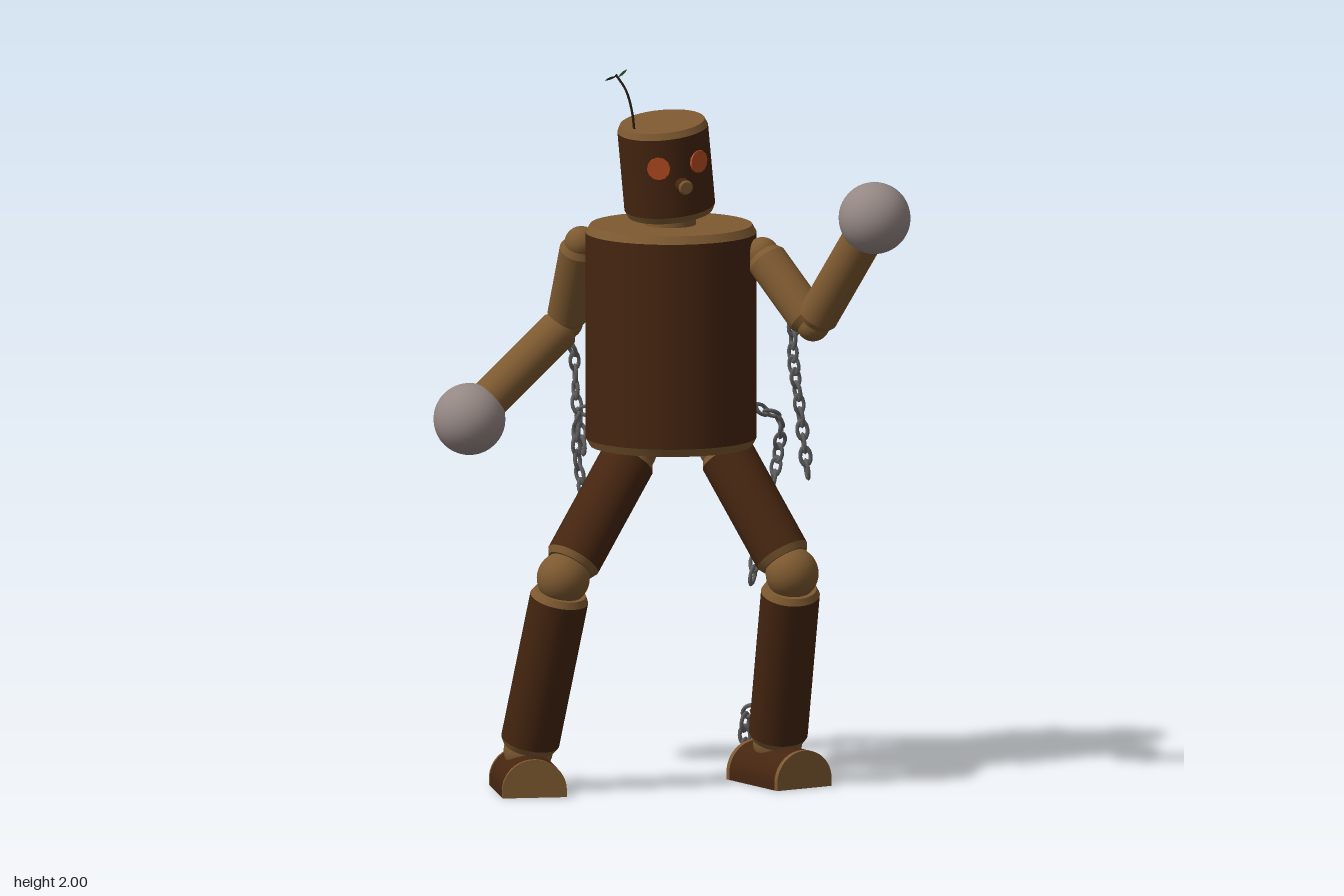
import * as THREE from 'three';

const mat = (name, color, side = THREE.FrontSide) => {
  const m = new THREE.MeshStandardMaterial({ color, side });
  m.name = name;
  return m;
};
const V = (a) => new THREE.Vector3(...a);
const UP = new THREE.Vector3(0, 1, 0);

export function createModel() {
  const root = new THREE.Group();
  root.name = 'woodenRobot';
  const tan = mat('tanWood', 0x7d5930);
  const dark = mat('darkWood', 0x452510);
  const pale = mat('greyBall', 0x958884);
  const iron = mat('chainIron', 0x636262);
  const glow = mat('orangeEye', 0xb84c20);
  const green = mat('leafGreen', 0x24421f, THREE.DoubleSide);
  const stem = mat('stemBrown', 0x2c2118);

  const add = (parent, name, geo, material, pos = [0, 0, 0]) => {
    const m = new THREE.Mesh(geo, material);
    m.name = name;
    m.position.set(...pos);
    parent.add(m);
    return m;
  };
  const ball = (name, pos, r, material = tan) =>
    add(root, name, new THREE.SphereGeometry(r, 32, 20), material, pos);

  // Cylinder with bevelled rims; its sides take one colour and its ends another
  const barrel = (name, from, to, r, side = dark, trim = 0.018, bevel = 0.01) => {
    const a = V(from), b = V(to), h = a.distanceTo(b);
    const g = new THREE.Group();
    g.name = name;
    g.position.copy(a).add(b).multiplyScalar(0.5);
    g.quaternion.setFromUnitVectors(UP, b.clone().sub(a).normalize());
    add(g, name + 'Side', new THREE.CylinderGeometry(r, r, h - trim * 2, 40, 1, true), side);
    const y = h / 2 - trim / 2;
    add(g, name + 'TopRim', new THREE.CylinderGeometry(r - bevel, r, trim, 40), tan, [0, y, 0]);
    add(g, name + 'BottomRim', new THREE.CylinderGeometry(r, r - bevel, trim, 40), tan, [0, -y, 0]);
    root.add(g);
    return g;
  };

  // Torso and neck
  barrel('torso', [-0.036, 0.94, -0.075], [-0.036, 1.553, -0.075], 0.235, dark, 0.022, 0.012);
  add(root, 'neck', new THREE.CylinderGeometry(0.07, 0.07, 0.08, 32), tan, [-0.037, 1.575, -0.07]);

  // Head, leaning forward, with the face turned to its left
  const head = barrel('head', [-0.037, 1.587, -0.07], [-0.05, 1.843, -0.032], 0.125, dark, 0.018, 0.008);
  const face = new THREE.Group();
  face.name = 'face';
  face.rotation.y = 0.6;
  head.add(face);
  for (const s of [-1, 1]) {
    const eye = new THREE.Group();
    eye.rotation.y = s * 0.49;
    face.add(eye);
    const geo = new THREE.CylinderGeometry(0.032, 0.032, 0.009, 12).rotateX(Math.PI / 2);
    add(eye, s < 0 ? 'rightEye' : 'leftEye', geo, glow, [0, 0.032, 0.1235]);
  }
  const disc = (r1, r2, h) => new THREE.CylinderGeometry(r1, r2, h, 20).rotateX(Math.PI / 2);
  add(face, 'nose', disc(0.021, 0.021, 0.04), dark, [0, -0.022, 0.134]);
  add(face, 'noseTip', disc(0.016, 0.021, 0.006), tan, [0, -0.022, 0.157]);

  // Sprig on the head
  const sprig = new THREE.CatmullRomCurve3(
    [[-0.112, 1.82, 0.03], [-0.116, 1.88, 0.042], [-0.13, 1.94, 0.054], [-0.156, 1.985, 0.066]].map(V));
  add(root, 'sprigStem', new THREE.TubeGeometry(sprig, 16, 0.0035, 6), stem);
  const leafShape = new THREE.Shape();
  leafShape.moveTo(0, 0);
  leafShape.quadraticCurveTo(0.008, 0.018, 0, 0.034);
  leafShape.quadraticCurveTo(-0.008, 0.018, 0, 0);
  const leaves = [[-0.153, 1.98, 0.066, -0.8, -0.3, 0.3], [-0.15, 1.976, 0.06, 0.6, 0.6, -0.6],
    [-0.138, 1.955, 0.058, 0.2, 0.15, 0.9]];
  for (const [x, y, z, dx, dy, dz] of leaves) {
    const leaf = add(root, 'sprigLeaf', new THREE.ShapeGeometry(leafShape, 5), green, [x, y, z]);
    leaf.quaternion.setFromUnitVectors(UP, new THREE.Vector3(dx, dy, dz).normalize());
  }

  // Arms
  const arms = [
    { n: 'right', shoulder: [-0.293, 1.49, -0.08], elbow: [-0.365, 1.25, -0.19], hand: [-0.59, 1.0, -0.003] },
    { n: 'left', shoulder: [0.222, 1.48, -0.08], elbow: [0.385, 1.3, -0.01], hand: [0.583, 1.617, 0.077] },
  ];
  for (const { n, shoulder, elbow, hand } of arms) {
    const s = V(shoulder), e = V(elbow), h = V(hand);
    const at = (a, b, t) => a.clone().lerp(b, t).toArray();
    ball(n + 'Shoulder', shoulder, 0.046);
    barrel(n + 'UpperArm', at(s, e, 0.02), at(s, e, 0.97), 0.056, tan);
    ball(n + 'Elbow', elbow, 0.046);
    barrel(n + 'Forearm', at(e, h, 0.03), at(e, h, 0.85), 0.056, tan);
    ball(n + 'Hand', hand, 0.099, pale);
  }

  // Legs and feet
  const legs = [
    { n: 'right', hip: [-0.125, 0.93, 0.0], knee: [-0.262, 0.605, 0.225], ankle: [-0.385, 0.11, 0.137],
      foot: [-0.38, 0, 0.16], yaw: 0.41 },
    { n: 'left', hip: [0.095, 0.93, -0.13], knee: [0.322, 0.605, -0.022], ankle: [0.238, 0.11, -0.18],
      foot: [0.247, 0, -0.163], yaw: 0.84 },
  ];
  // Half-round foot section
  const sole = new THREE.Shape();
  sole.moveTo(-0.089, 0);
  sole.lineTo(0.089, 0);
  sole.lineTo(0.089, 0.02);
  sole.absellipse(0, 0.02, 0.089, 0.085, 0, Math.PI, false);
  sole.lineTo(-0.089, 0);
  for (const { n, hip, knee, ankle, foot, yaw } of legs) {
    const h = V(hip), k = V(knee), a = V(ankle);
    const at = (p, q, t) => p.clone().lerp(q, t).toArray();
    ball(n + 'Hip', hip, 0.066);
    barrel(n + 'Thigh', at(h, k, 0.03), at(h, k, 0.9), 0.077);
    ball(n + 'Knee', knee, 0.073);
    barrel(n + 'Shin', at(k, a, 0.08), at(k, a, 0.98), 0.081);
    ball(n + 'Ankle', ankle, 0.068);
    const g = new THREE.Group();
    g.name = n + 'Foot';
    g.position.set(...foot);
    g.rotation.y = yaw;
    const slab = (depth) =>
      new THREE.ExtrudeGeometry(sole, { depth, bevelEnabled: false, curveSegments: 24 });
    add(g, n + 'FootBody', slab(0.226), dark, [0, 0, -0.113]);
    add(g, n + 'Toe', slab(0.015), tan, [0, 0, 0.113]);
    add(g, n + 'Heel', slab(0.015), tan, [0, 0, -0.128]);
    root.add(g);
  }

  // Chains: oval links laid along a path, each turned a quarter from the last
  const link = new THREE.TorusGeometry(0.0145, 0.0055, 6, 14).scale(1, 1.6, 1);
  const chain = (name, points) => {
    const curve = new THREE.CatmullRomCurve3(points.map(V));
    const count = Math.round(curve.getLength() / 0.038);
    const g = new THREE.Group();
    g.name = name;
    for (let i = 0; i <= count; i++) {
      const t = i / count;
      const m = add(g, 'link', link, iron, curve.getPointAt(t).toArray());
      m.quaternion.setFromUnitVectors(UP, curve.getTangentAt(t));
      m.rotateY(0.5 + (i % 2) * Math.PI / 2);
    }
    root.add(g);
  };
  chain('leftElbowChain', [[0.31, 1.28, -0.085], [0.305, 1.2, -0.095], [0.32, 1.05, -0.11], [0.338, 0.88, -0.12]]);
  chain('rightElbowChain', [[-0.375, 1.22, -0.22], [-0.37, 1.14, -0.29], [-0.365, 1.02, -0.295], [-0.335, 0.9, -0.25]]);
  chain('leftWaistChain', [[0.19, 1.03, -0.19], [0.225, 1.0, -0.24], [0.21, 0.9, -0.295], [0.175, 0.72, -0.28],
    [0.15, 0.56, -0.245]]);
  chain('rightWaistChain', [[-0.26, 1.03, -0.11], [-0.315, 1.0, -0.14], [-0.325, 0.9, -0.15], [-0.29, 0.72, -0.15]]);
  chain('rightAnkleChain', [[-0.42, 0.21, 0.065], [-0.44, 0.15, 0.03], [-0.43, 0.035, 0.0]]);
  chain('leftAnkleChain', [[0.165, 0.2, -0.235], [0.13, 0.17, -0.255], [0.125, 0.04, -0.265]]);

  return root;
}
